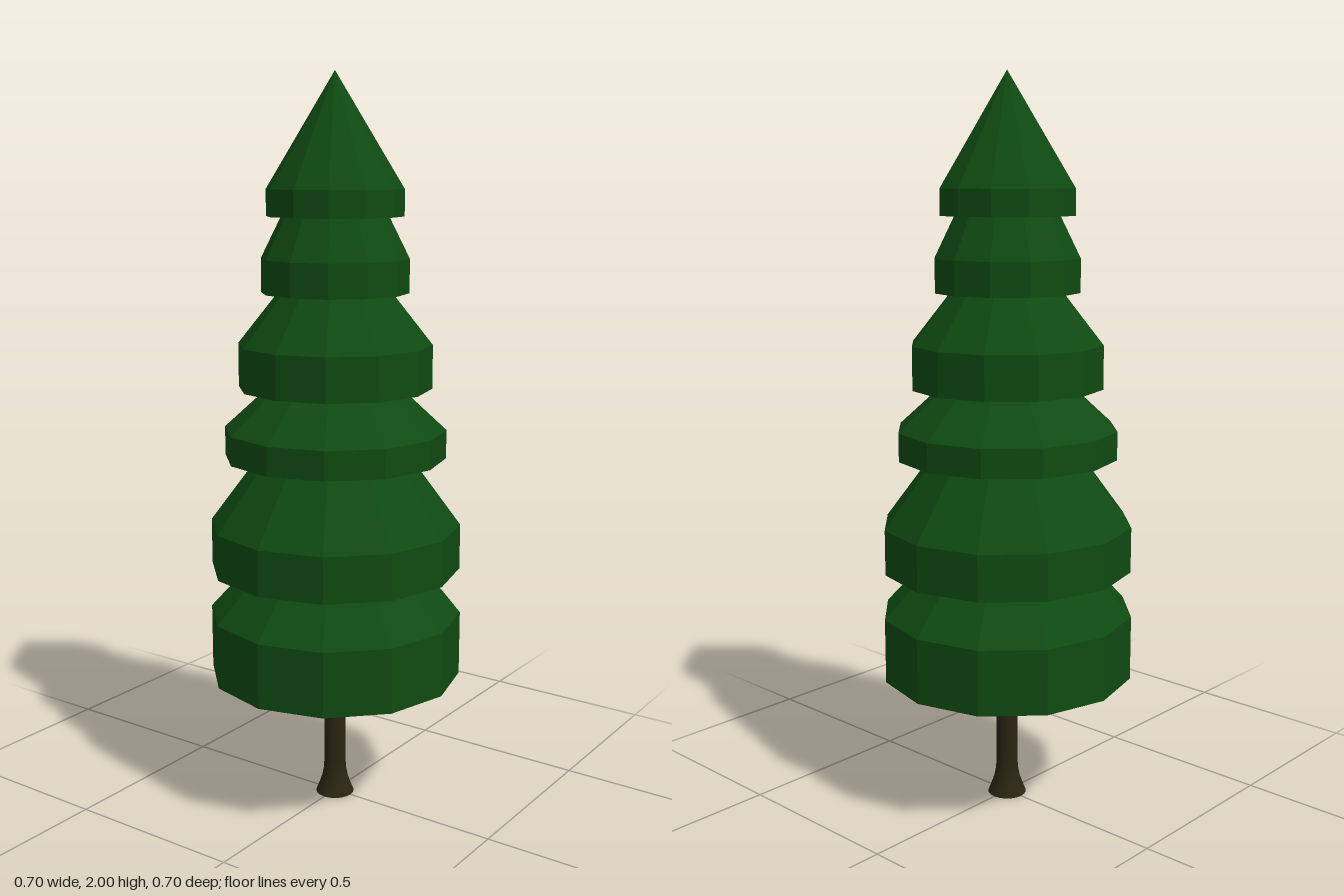
import * as THREE from 'three';

const SIDES = 12;

export function createModel() {
  const tree = new THREE.Group();
  tree.name = 'pineTree';

  const needles = new THREE.MeshStandardMaterial({ color: 0x0f4a12 });
  needles.name = 'needle green';
  needles.flatShading = true;
  const shade = new THREE.MeshStandardMaterial({ color: 0x0b330d });
  shade.name = 'inner green';
  const bark = new THREE.MeshStandardMaterial({ color: 0x2b2412 });
  bark.name = 'bark brown';

  const lathe = (points, segments) =>
    new THREE.LatheGeometry(points.map(([r, y]) => new THREE.Vector2(r, y)), segments);

  const add = (name, geometry, material) => {
    const mesh = new THREE.Mesh(geometry, material);
    mesh.name = name;
    tree.add(mesh);
    return mesh;
  };

  // Foliage tiers: bottom y, rim radius, rim top y, shoulder radius, top y
  const tiers = [
    [0.37, 0.348, 0.548, 0.233, 0.675],
    [0.675, 0.344, 0.80, 0.207, 0.985],
    [0.985, 0.302, 1.063, 0.18, 1.175],
    [1.175, 0.262, 1.293, 0.153, 1.43],
    [1.43, 0.198, 1.52, 0.143, 1.63],
    [1.63, 0.183, 1.70, 0, 2.0],
  ];
  tiers.forEach(([y0, rim, y1, shoulder, y2], i) => {
    // The lowest tier has an open, slightly hollowed underside
    const start = i === 0 ? [0.25, y0 + 0.02] : [0, y0];
    const profile = [start, [rim, y0], [rim, y1], [shoulder, y2]];
    add(`foliageTier${i + 1}`, lathe(profile, SIDES), needles);
  });

  // Round panel closing the hollow under the lowest tier
  const panel = add('foliageUnderside', new THREE.CircleGeometry(0.256, 32), shade);
  panel.rotation.x = Math.PI / 2;
  panel.position.y = 0.389;

  // Trunk, flared at the root and at the crown
  add('trunk', lathe([
    [0.054, 0], [0.046, 0.02], [0.037, 0.045], [0.032, 0.07],
    [0.03, 0.1], [0.03, 0.33], [0.034, 0.35], [0.041, 0.37], [0.043, 0.4],
  ], 20), bark);

  const base = add('trunkBase', new THREE.CircleGeometry(0.054, 20), bark);
  base.rotation.x = Math.PI / 2;

  return tree;
}
